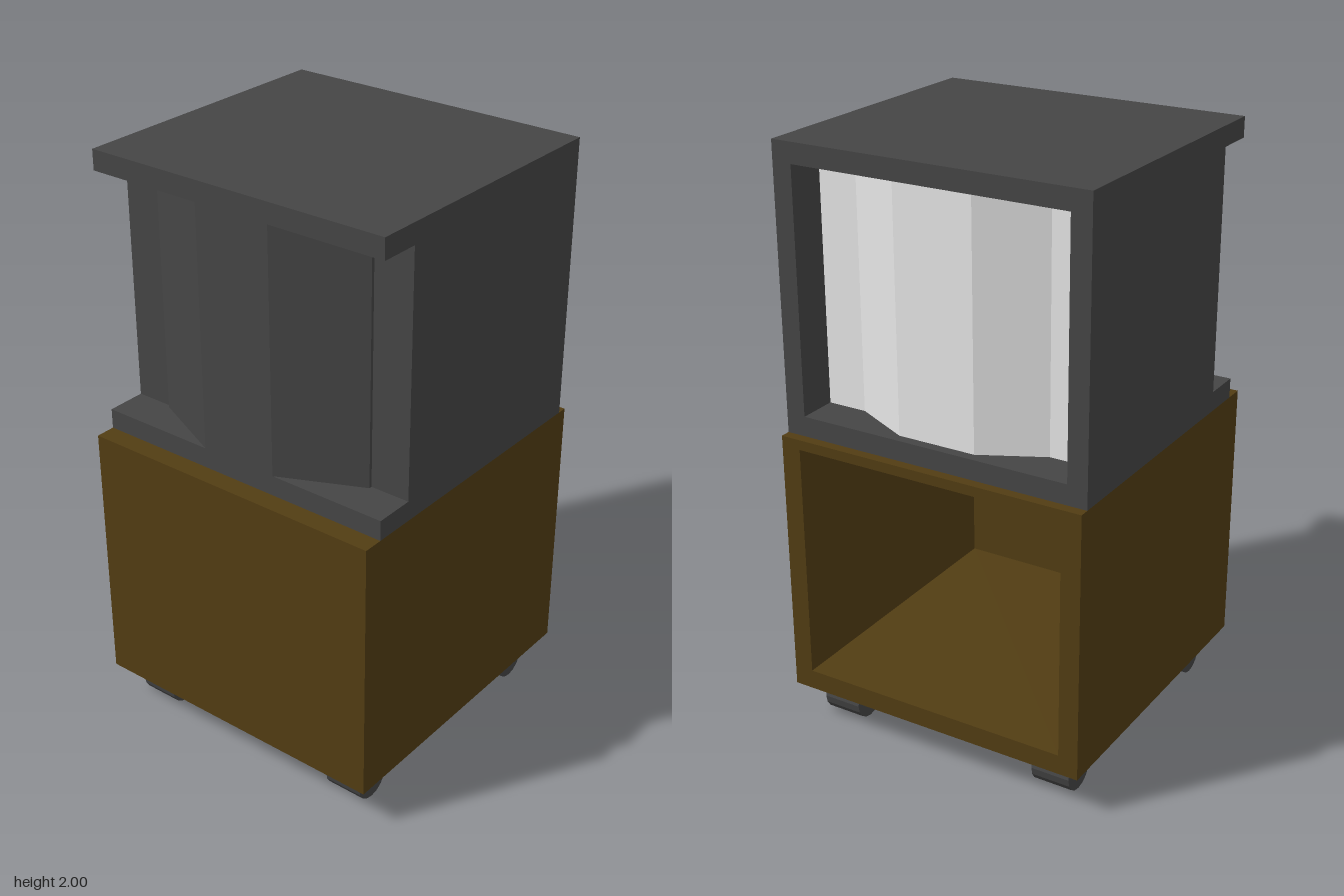
import * as THREE from 'three';

const U = 2 / 29.5; // design unit: the whole cabinet is 29.5 units tall

export function createModel() {
  const model = new THREE.Group();
  const make = (name, hex) => {
    const m = new THREE.MeshStandardMaterial({ color: hex });
    m.name = name;
    return m;
  };
  const grey = make('darkGrey', 0x454545);
  const brown = make('brownWood', 0x523d13);
  const white = make('paleScreen', 0xe6e6e6);

  const add = (name, geometry, material) => {
    const mesh = new THREE.Mesh(geometry, material);
    mesh.name = name;
    model.add(mesh);
    return mesh;
  };
  // Box given by its limits in units
  const box = (name, material, [x0, x1], [y0, y1], [z0, z1]) =>
    add(name, new THREE.BoxGeometry((x1 - x0) * U, (y1 - y0) * U, (z1 - z0) * U), material)
      .position.set((x0 + x1) / 2 * U, (y0 + y1) / 2 * U, (z0 + z1) / 2 * U);
  // Upright prism from a plan outline of [x, z] points in units
  const prism = (name, material, points, y0, y1) => {
    const shape = new THREE.Shape(points.map(([x, z]) => new THREE.Vector2(x * U, -z * U)));
    const g = new THREE.ExtrudeGeometry(shape, { depth: (y1 - y0) * U, bevelEnabled: false });
    g.rotateX(-Math.PI / 2);
    add(name, g, material).position.y = y0 * U;
  };
  const rect = (C, z0, z1, y0, y1) => {
    const s = new C();
    s.moveTo(z0 * U, y0 * U).lineTo(z1 * U, y0 * U).lineTo(z1 * U, y1 * U).lineTo(z0 * U, y1 * U);
    s.closePath();
    return s;
  };

  // Lower cabinet: a hollow frame open towards +x, closed by a back panel
  const frame = rect(THREE.Shape, -8, 8, 2, 15.5);
  frame.holes.push(rect(THREE.Path, -7, 7, 3, 15));
  const frameGeo = new THREE.ExtrudeGeometry(frame, { depth: 15 * U, bevelEnabled: false });
  frameGeo.rotateY(Math.PI / 2).translate(-7 * U, 0, 0);
  add('cabinetFrame', frameGeo, brown);
  box('cabinetBack', brown, [-8, -7], [2, 15.5], [-8, 8]);

  // Upper housing: overhanging slabs and shorter side walls
  box('housingBase', grey, [-7, 7.5], [15.5, 16.5], [-8, 8]);
  box('housingTop', grey, [-7, 7.5], [28.5, 29.5], [-8, 8]);
  for (const s of [-1, 1])
    box('housingSide', grey, [-5, 7.5], [16.5, 28.5], s < 0 ? [-8, -7] : [7, 8]);

  // Tube body with a tapered hump at the back and a raised front
  const front = [[5.5, 7], [5.5, 5], [7, 2], [7, -2], [5.5, -5], [5.5, -7]];
  const inner = front.map(([x, z]) => [x - 0.08, z]);
  const rear = [[-5, -7], [-5, -6], [-5.15, -6], [-7, -2], [-7, 2], [-5.15, 6], [-5, 6], [-5, 7]];
  prism('tubeBody', grey, [...inner, ...rear], 16.5, 28.5);
  prism('screen', white, [...front, ...inner.slice().reverse()], 16.5, 28.5);

  // Four roller feet
  for (const x of [-6, 6])
    for (const z of [-6, 6]) {
      const g = new THREE.CylinderGeometry(U, U, 2 * U, 16).toNonIndexed();
      g.computeVertexNormals();
      g.rotateX(Math.PI / 2);
      add('roller', g, grey).position.set(x * U, U, z * U);
    }

  return model;
}
